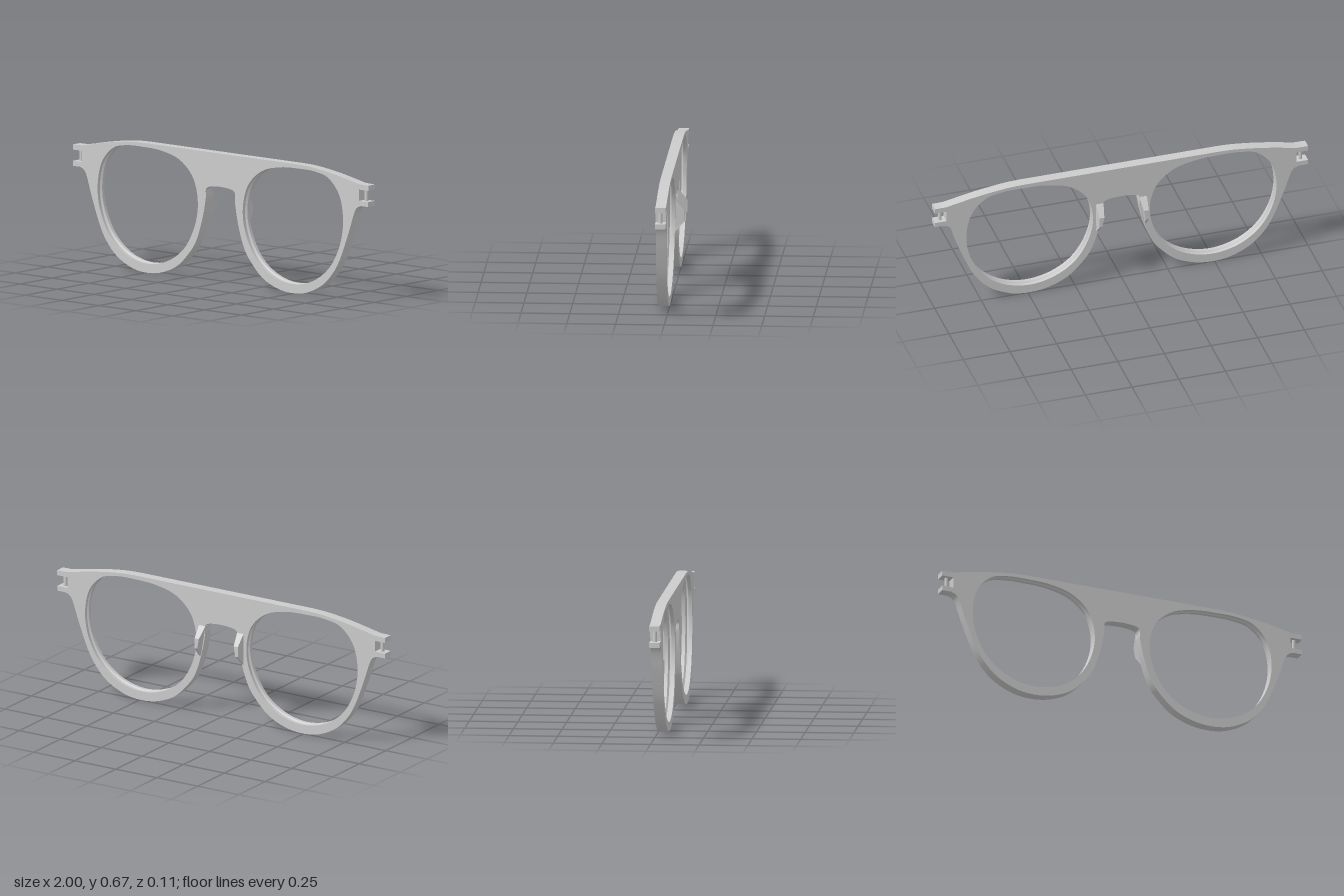
import * as THREE from 'three';
import { mergeGeometries, toCreasedNormals } from 'three/addons/utils/BufferGeometryUtils.js';

const DEPTH = 0.054;
const LEAN = -0.012; // the front leans back slightly with height

const vecs = (pts) => pts.map(([x, y]) => new THREE.Vector2(x, y));
const smooth = (pts, n) => new THREE.SplineCurve(vecs(pts)).getPoints(n);
const mirror = (pts) => pts.map((p) => new THREE.Vector2(-p.x, p.y)).reverse();

// Right half of the outline, counter-clockwise from bridge to top centre
function halfOutline() {
  const rim = smooth([[0, 0.499], [0.05, 0.496], [0.085, 0.488], [0.099, 0.472], [0.099, 0.43],
    [0.12, 0.323], [0.16, 0.205], [0.21, 0.132], [0.29, 0.057], [0.39, 0.014], [0.49, 0.001],
    [0.59, 0.014], [0.69, 0.061], [0.76, 0.127], [0.812, 0.21], [0.869, 0.353], [0.902, 0.45],
    [0.922, 0.487], [0.95, 0.501]], 120);
  const hinge = vecs([[1, 0.501], [1, 0.527], [0.938, 0.527], [0.938, 0.585], [1, 0.585], [1, 0.612]]);
  const brow = smooth([[0.94, 0.613], [0.9, 0.621], [0.8, 0.641], [0.7, 0.657], [0.6, 0.668],
    [0.52, 0.671]], 24);
  return [...rim, ...hinge, ...brow];
}

// Lens opening, clockwise closed loop
function lensLoop() {
  const pts = [[0.527, 0.65], [0.634, 0.647], [0.725, 0.625], [0.802, 0.545], [0.831, 0.417],
    [0.811, 0.285], [0.744, 0.163], [0.634, 0.08], [0.495, 0.048], [0.36, 0.074], [0.249, 0.147],
    [0.176, 0.267], [0.152, 0.396], [0.185, 0.524], [0.275, 0.608], [0.4, 0.643]];
  const curve = new THREE.CatmullRomCurve3(pts.map(([x, y]) => new THREE.Vector3(x, y, 0)), true);
  return curve.getPoints(96).slice(0, -1).map((p) => new THREE.Vector2(p.x, p.y));
}

// Sweeps an [inset, z] profile round a closed loop
function wall(loop, profile) {
  const n = loop.length, pos = [], idx = [];
  for (const [inset, z] of profile) {
    loop.forEach((p, i) => {
      const t = loop[(i + 1) % n].clone().sub(loop[(i + n - 1) % n]).normalize();
      pos.push(p.x - t.y * inset, p.y + t.x * inset, z);
    });
  }
  for (let r = 0; r < profile.length - 1; r++) {
    for (let i = 0; i < n; i++) {
      const a = r * n + i, b = r * n + (i + 1) % n;
      idx.push(a, b, b + n, a, b + n, a + n);
    }
  }
  const g = new THREE.BufferGeometry();
  g.setAttribute('position', new THREE.Float32BufferAttribute(pos, 3));
  g.setIndex(idx);
  g.computeVertexNormals();
  return g.toNonIndexed();
}

// Slides a geometry in z according to height
function lean(g) {
  const p = g.attributes.position;
  for (let i = 0; i < p.count; i++) p.setZ(i, p.getZ(i) + LEAN * p.getY(i));
  return g;
}

function frameGeometry() {
  const half = halfOutline();
  const outline = [...half, ...mirror(half).slice(0, -1)];
  const left = lensLoop(), right = mirror(left);
  const shape = new THREE.Shape(outline);
  shape.holes.push(new THREE.Path(left), new THREE.Path(right));

  const front = new THREE.ShapeGeometry(shape).toNonIndexed();
  const back = front.clone().rotateY(Math.PI);
  front.translate(0, 0, DEPTH);
  [front, back].forEach((g) => g.deleteAttribute('uv'));

  // Lens openings carry a shallow groove to seat the lens
  const groove = [[0, 0], [0, 0.018], [0.01, 0.027], [0, 0.036], [0, DEPTH]];
  const parts = [front, back, wall(outline, [[0, 0], [0, DEPTH]]), wall(left, groove), wall(right, groove)];
  return toCreasedNormals(lean(mergeGeometries(parts)), 0.5);
}

// Nose pad whose inner face follows the rim; side is +1 or -1
function padGeometry(side) {
  const profile = vecs([[-0.02, 0.31], [0.006, 0.31], [0.053, 0.362], [0.053, 0.416], [0.006, 0.474], [-0.02, 0.474]]);
  const g = new THREE.ExtrudeGeometry(new THREE.Shape(profile), { depth: 0.03, bevelEnabled: false });
  g.translate(0, 0, -0.015).rotateY(Math.PI / 2); // profile x becomes -z
  const p = g.attributes.position;
  for (let i = 0; i < p.count; i++) {
    const atTip = p.getZ(i) < -0.04;
    const isOuter = p.getX(i) * side > 0;
    const inner = 0.125 - 0.175 * (p.getY(i) - 0.31);
    p.setX(i, side * (isOuter ? (atTip ? 0.132 : 0.136) : inner));
  }
  g.computeVertexNormals();
  return g;
}

export function createModel() {
  const group = new THREE.Group();
  const material = new THREE.MeshStandardMaterial({ color: 0xcccccc });
  const add = (name, geometry) => {
    const mesh = new THREE.Mesh(geometry, material);
    mesh.name = name;
    group.add(mesh);
    return mesh;
  };

  add('frameFront', frameGeometry());
  for (const side of [1, -1]) {
    const label = side > 0 ? 'left' : 'right';
    add(label + 'NosePad', padGeometry(side));
    // Hinge pin between the two prongs
    add(label + 'HingePin', new THREE.CylinderGeometry(0.01, 0.01, 0.064, 20))
      .position.set(side * 0.966, 0.556, DEPTH / 2 + LEAN * 0.556);
  }
  return group;
}
